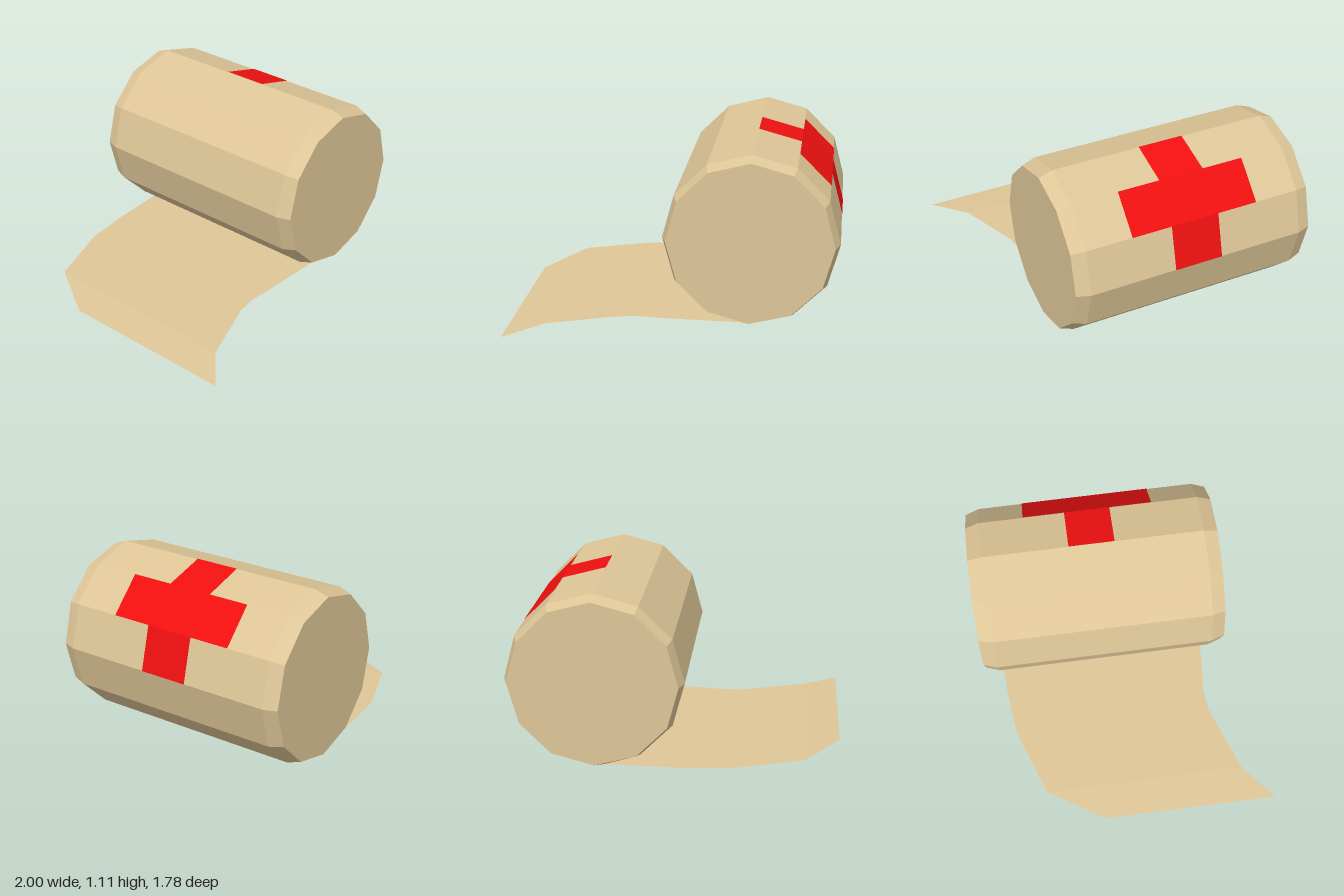
import * as THREE from 'three';

const SIDES = 12, CX = 0.465, CY = 0.57, R = 0.532, CAP_R = 0.503;
const TAN = 0xdec697, RED = 0xf01010;

// Corner of the twelve-sided roll, counted anticlockwise from +x
function corner(i, r, z) {
  const a = (i % SIDES) * Math.PI * 2 / SIDES;
  const x = CX + r * Math.cos(a), y = CY + r * Math.sin(a);
  // the lowest corner leans towards the loose end
  return [i % SIDES === 9 && r === R ? x - 0.045 : x, y, z];
}

function quad(out, a, b, c, d) {
  out.push(...a, ...b, ...c, ...a, ...c, ...d);
}

function makeMesh(name, points, color, side = THREE.FrontSide) {
  const geometry = new THREE.BufferGeometry();
  geometry.setAttribute('position', new THREE.Float32BufferAttribute(points, 3));
  geometry.computeVertexNormals();
  const material = new THREE.MeshStandardMaterial({ color, flatShading: true, side });
  const mesh = new THREE.Mesh(geometry, material);
  mesh.name = name;
  return mesh;
}

// Bevelled roll: four rings from back to front, closed by flat ends
function makeRoll() {
  const rings = [[CAP_R, -0.895], [R, -0.81], [R, 0.57], [CAP_R, 0.655]];
  const points = [];
  for (let i = 0; i < SIDES; i++) {
    for (let k = 0; k < rings.length - 1; k++) {
      const [r0, z0] = rings[k], [r1, z1] = rings[k + 1];
      quad(points, corner(i, r0, z0), corner(i + 1, r0, z0), corner(i + 1, r1, z1), corner(i, r1, z1));
    }
    points.push(CX, CY, 0.655, ...corner(i, CAP_R, 0.655), ...corner(i + 1, CAP_R, 0.655));
    points.push(CX, CY, -0.895, ...corner(i + 1, CAP_R, -0.895), ...corner(i, CAP_R, -0.895));
  }
  return makeMesh('roll', points, TAN);
}

// Cross wrapped over three neighbouring facets: [facet, back z, front z]
function makeCross() {
  const points = [], r = R + 0.003;
  for (const [i, z0, z1] of [[2, -0.27, 0.015], [1, -0.53, 0.28], [0, -0.275, 0.03]]) {
    quad(points, corner(i, r, z0), corner(i + 1, r, z0), corner(i + 1, r, z1), corner(i, r, z1));
  }
  return makeMesh('cross', points, RED);
}

// Loose end lying on the ground: [x, y, back z, front z]
function makeLooseEnd() {
  const stations = [
    [-1, 0, -0.235, 0.885], [-0.78, 0.016, -0.6, 0.695], [-0.36, 0.019, -0.755, 0.54],
    [-0.22, 0.021, -0.772, 0.525], [-0.07, 0.024, -0.79, 0.54], [0.42, 0.037, -0.81, 0.57],
  ];
  const points = [];
  for (let k = 0; k < stations.length - 1; k++) {
    const [x0, y0, b0, f0] = stations[k], [x1, y1, b1, f1] = stations[k + 1];
    quad(points, [x0, y0, b0], [x0, y0, f0], [x1, y1, f1], [x1, y1, b1]);
  }
  return makeMesh('looseEnd', points, TAN, THREE.DoubleSide);
}

export function createModel() {
  const group = new THREE.Group();
  group.name = 'bandageRoll';
  group.add(makeRoll(), makeCross(), makeLooseEnd());
  return group;
}
